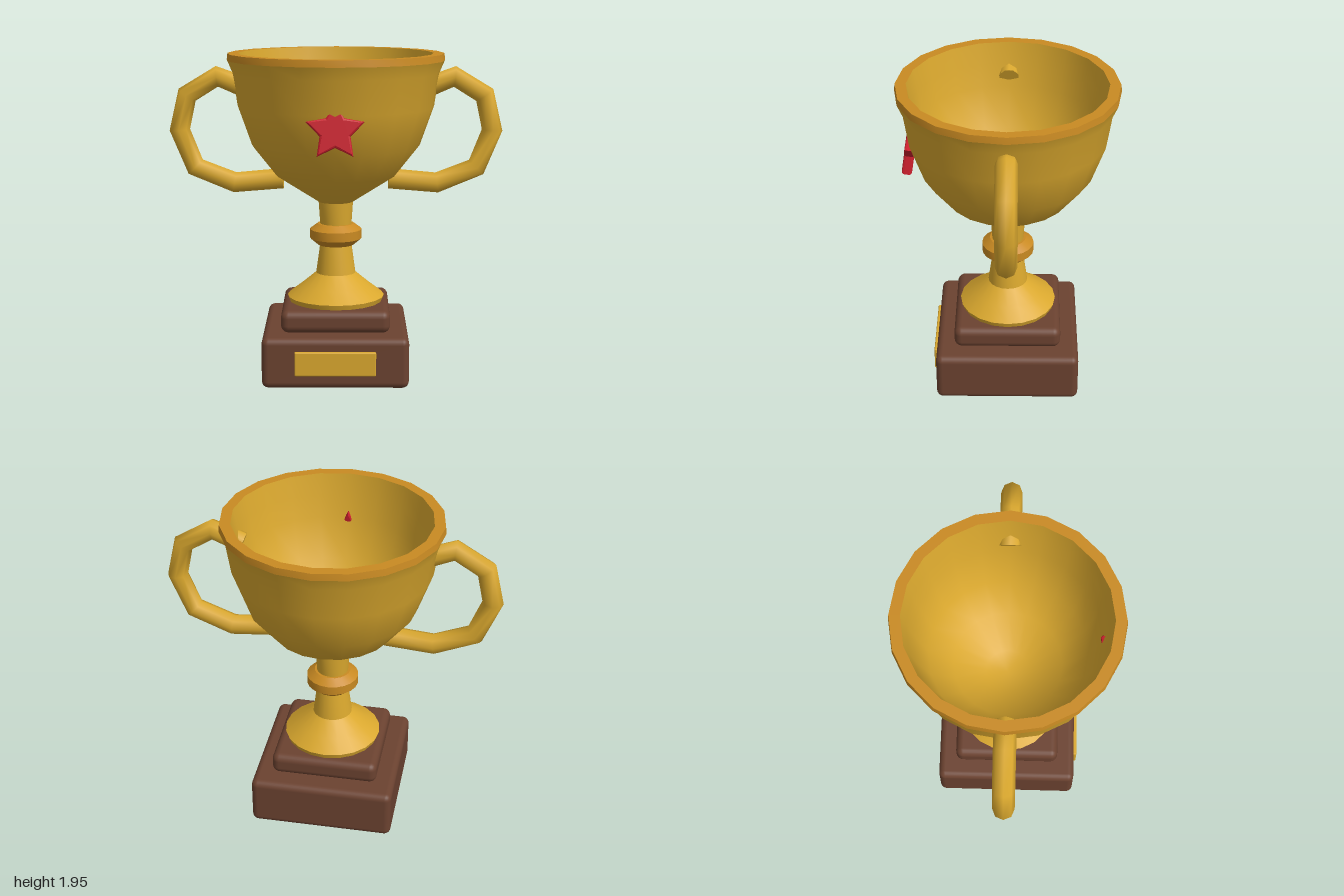
import * as THREE from 'three';
import { toCreasedNormals } from 'three/addons/utils/BufferGeometryUtils.js';
import { RoundedBoxGeometry } from 'three/addons/geometries/RoundedBoxGeometry.js';

const material = (name, color) => Object.assign(new THREE.MeshStandardMaterial({ color }), { name });

export function createModel() {
  const gold = material('gold', 0xdaa82e);
  const bronze = material('bronze', 0xc98a22);
  const wood = material('wood', 0x6b4230);
  const red = material('red', 0xcc1f2d);
  const trophy = new THREE.Group();
  trophy.name = 'trophy';

  const add = (name, geometry, mat, parent = trophy) => {
    const mesh = new THREE.Mesh(geometry, mat);
    mesh.name = name;
    parent.add(mesh);
    return mesh;
  };
  // Turned part from [radius, height] pairs, outside going up
  const turned = (name, profile, mat) => {
    const points = profile.map(([r, y]) => new THREE.Vector2(r, y));
    return add(name, toCreasedNormals(new THREE.LatheGeometry(points, 20), 0.55), mat);
  };

  // Wooden plinth in two steps, with name plate
  add('plinthBase', new RoundedBoxGeometry(0.87, 0.305, 0.87, 3, 0.04), wood).position.y = 0.1525;
  add('plinthStep', new RoundedBoxGeometry(0.65, 0.135, 0.65, 3, 0.045), wood).position.y = 0.3725;
  add('plate', new RoundedBoxGeometry(0.48, 0.145, 0.035, 2, 0.008), gold).position.set(0, 0.157, 0.438);

  // Foot, stem and knot
  turned('foot', [[0, 0.435], [0.283, 0.435], [0.295, 0.47], [0.21, 0.535], [0.12, 0.61], [0.095, 0.79]], gold);
  turned('knot', [[0.09, 0.785], [0.11, 0.785], [0.157, 0.825], [0.157, 0.88], [0.11, 0.915], [0.09, 0.915]], bronze);
  turned('stem', [[0.095, 0.91], [0.105, 1.06]], gold);

  // Hollow cup with flared lip and bronze rim
  turned('cup', [[0, 1.05], [0.105, 1.05], [0.365, 1.218], [0.505, 1.395], [0.588, 1.63],
    [0.618, 1.83], [0.65, 1.905]], gold);
  turned('rim', [[0.65, 1.905], [0.645, 1.945], [0.582, 1.945]], bronze);
  turned('cupInside', [[0.582, 1.945], [0.56, 1.82], [0.533, 1.68], [0.46, 1.42], [0.32, 1.25],
    [0.13, 1.13], [0, 1.11]], gold);

  // Handles: one straight tube section between each pair of points
  const path = [[0.53, 1.735], [0.71, 1.805], [0.89, 1.695], [0.938, 1.485],
    [0.847, 1.26], [0.61, 1.165], [0.32, 1.19]];
  for (const side of [1, -1]) {
    const handle = new THREE.Group();
    handle.name = side > 0 ? 'leftHandle' : 'rightHandle';
    const curve = new THREE.CatmullRomCurve3(path.map(([x, y]) => new THREE.Vector3(side * x, y, 0)));
    curve.getPointAt = (u, target) => curve.getPoint(u, target);
    curve.getTangentAt = (u, target) => curve.getTangent(u, target);
    add('handleTube', new THREE.TubeGeometry(curve, path.length - 1, 0.062, 8), gold, handle);
    for (const end of [0, 1]) {
      const cap = add('handleEnd', new THREE.CircleGeometry(0.062, 8), gold, handle);
      const outward = curve.getTangent(end).multiplyScalar(end ? 1 : -1);
      cap.position.copy(curve.getPoint(end));
      cap.quaternion.setFromUnitVectors(new THREE.Vector3(0, 0, 1), outward);
    }
    trophy.add(handle);
  }

  // Bevelled star leaning into the front of the cup
  const star = new THREE.Shape();
  for (let i = 0; i < 10; i++) {
    const r = i % 2 ? 0.077 : 0.157;
    const a = Math.PI / 2 + i * Math.PI / 5;
    star[i ? 'lineTo' : 'moveTo'](r * Math.cos(a), r * Math.sin(a));
  }
  star.closePath();
  const starGeometry = new THREE.ExtrudeGeometry(star, {
    depth: 0.03, bevelEnabled: true, bevelThickness: 0.015, bevelSize: 0.012, bevelSegments: 2,
  });
  starGeometry.translate(0, 0, -0.015);
  const starMesh = add('star', starGeometry, red);
  starMesh.position.set(0, 1.545, 0.57);
  starMesh.rotation.x = -0.15;

  return trophy;
}
